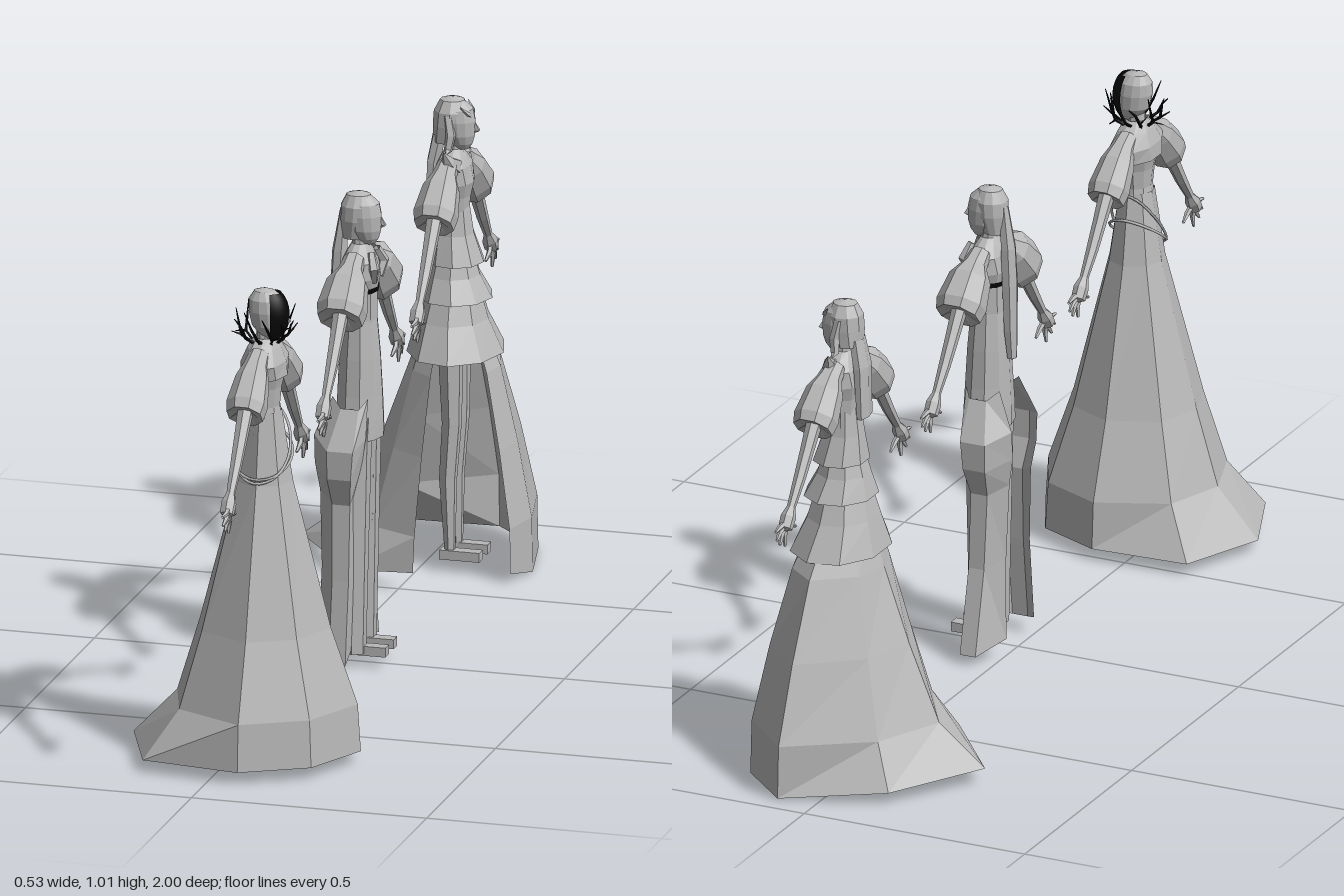
import * as THREE from 'three';

const grey = new THREE.MeshStandardMaterial({ color: 0xb8b8b8, side: THREE.DoubleSide });
grey.name = 'plain grey';
const black = new THREE.MeshStandardMaterial({ color: 0x060606, side: THREE.DoubleSide });
black.name = 'black';

const V = (x, y, z) => new THREE.Vector3(x, y, z);
const lerp = THREE.MathUtils.lerp;

function add(parent, name, geometry, material = grey) {
  const mesh = new THREE.Mesh(geometry, material);
  mesh.name = name;
  parent.add(mesh);
  return mesh;
}

// Faceted skin through rows of points
function skin(rows, closed = true) {
  const pos = [];
  const n = rows[0].length;
  for (let i = 0; i < rows.length - 1; i++) {
    for (let j = 0; j < (closed ? n : n - 1); j++) {
      const k = (j + 1) % n;
      const [a, b, c, d] = [rows[i][j], rows[i][k], rows[i + 1][k], rows[i + 1][j]];
      for (const p of [a, b, c, a, c, d]) pos.push(p.x, p.y, p.z);
    }
  }
  const g = new THREE.BufferGeometry();
  g.setAttribute('position', new THREE.Float32BufferAttribute(pos, 3));
  g.computeVertexNormals();
  return g;
}

// Upright loft: rings of [y, rx, rz, centre x]
const loft = (rings, n = 8) => skin(rings.map(([y, rx, rz, cx = 0]) =>
  Array.from({ length: n }, (_, j) => {
    const a = (j / n) * Math.PI * 2;
    return V(cx + rx * Math.cos(a), y, rz * Math.sin(a));
  })));

// Limb along points [x, y, z, radius]
function limb(points, n = 6) {
  const c = points.map(p => V(p[0], p[1], p[2]));
  return skin(points.map((p, i) => {
    const dir = c[Math.min(i + 1, c.length - 1)].clone().sub(c[Math.max(i - 1, 0)]).normalize();
    const u = V(1, 0, 0).addScaledVector(dir, -dir.x).normalize();
    const w = dir.clone().cross(u);
    return Array.from({ length: n }, (_, j) => {
      const a = ((j + 0.5) / n) * Math.PI * 2;
      return c[i].clone().addScaledVector(u, p[3] * Math.cos(a)).addScaledVector(w, p[3] * Math.sin(a));
    });
  }));
}

// Skirt flowing from a waist ellipse to hem points [x, y, z, trail];
// levels are [y, spread at sides, spread on the trailing hem]
function skirt(hem, waist, levels, closed) {
  return skin(levels.map(([y, side, trail], i) => hem.map(([hx, hy, hz, f]) => {
    const a = Math.atan2(hz, hx);
    const t = lerp(side, trail, f);
    return V(lerp(waist[0] * Math.cos(a), hx, t), i === levels.length - 1 ? hy : y,
      lerp(waist[1] * Math.sin(a), hz, t));
  })), closed);
}

// Shared body: head, neck, torso, arms, hands, legs and feet
function person(name, z, puff) {
  const g = new THREE.Group();
  g.name = name;
  g.position.set(0.065, 0, z);
  add(g, 'head', loft([[1.008, 0.002, 0.002], [1.002, 0.022, 0.018], [0.985, 0.037, 0.03, 0.004],
    [0.96, 0.04, 0.033, 0.006], [0.93, 0.036, 0.03, 0.009], [0.912, 0.026, 0.022, 0.014],
    [0.9, 0.012, 0.012, 0.02], [0.898, 0.001, 0.001, 0.02]], 14));
  add(g, 'nose', limb([[0.044, 0.957, 0, 0.002], [0.051, 0.94, 0, 0.006], [0.043, 0.935, 0, 0.002]], 4));
  add(g, 'torso', loft([[0.93, 0.016, 0.016], [0.9, 0.017, 0.019], [0.885, 0.026, 0.04], [0.865, 0.036, 0.062],
    [0.83, 0.043, 0.055], [0.8, 0.036, 0.043], [0.76, 0.032, 0.038], [0.7, 0.04, 0.045]], 10));
  for (const s of [1, -1]) {
    add(g, 'sleeve', limb([[0, 0.875, s * 0.04, 0.022], [0, 0.858, s * 0.068, 0.026],
      [0, 0.838, s * 0.09, puff * 0.83], [0, 0.795, s * 0.13, puff], [0, 0.776, s * 0.146, puff * 0.9],
      [0, 0.784, s * 0.142, 0.014]], 8));
    add(g, 'forearm', limb([[0, 0.79, s * 0.137, 0.017], [0, 0.74, s * 0.172, 0.0145],
      [0, 0.69, s * 0.208, 0.0125], [0, 0.64, s * 0.248, 0.009]]));
    add(g, 'palm', limb([[0, 0.642, s * 0.246, 0.009], [0, 0.625, s * 0.26, 0.016],
      [0, 0.605, s * 0.274, 0.015], [0, 0.6, s * 0.278, 0.003]]));
    for (const [y, w] of [[0.61, 0.315], [0.59, 0.31], [0.575, 0.296], [0.564, 0.271], [0.59, 0.222]]) {
      add(g, 'finger', limb([[0, 0.617, s * 0.264, 0.006], [0.004, (y + 0.614) / 2, s * (w + 0.268) / 2, 0.006],
        [0.002, y, s * w, 0.003]], 5));
    }
    add(g, 'leg', limb([[0, 0.56, s * 0.028, 0.03], [0.004, 0.32, s * 0.028, 0.021],
      [-0.004, 0.2, s * 0.028, 0.019], [0, 0.04, s * 0.028, 0.011]]));
    const foot = add(g, 'foot', new THREE.BoxGeometry(0.085, 0.02, 0.026));
    foot.position.set(0.024, 0.04, s * 0.03);
  }
  return g;
}

// Woman in the bell gown with a dark mask and thorn collar
function maskedLady() {
  const g = person('maskedLady', 0.69, 0.043);
  add(g, 'bellSkirt', skirt([
    [0.135, 0.03, 0.125, 0], [0.0, 0.03, 0.2, 0], [-0.21, 0.03, 0.17, 0.9], [-0.285, 0.03, -0.02, 1],
    [-0.21, 0.03, -0.2, 0.9], [0.0, 0.03, -0.21, 0], [0.135, 0.03, -0.15, 0], [0.2, 0.03, -0.015, 0]],
  [0.036, 0.042], [[0.75, 0, 0], [0.6, 0.14, 0.09], [0.29, 0.62, 0.42], [0.13, 0.96, 0.62], [0.03, 1, 1]], true));
  add(g, 'shoulderCape', loft([[0.905, 0.022, 0.026], [0.885, 0.034, 0.055], [0.855, 0.046, 0.085],
    [0.825, 0.048, 0.07]], 9));
  // Face mask
  const mask = add(g, 'faceMask', new THREE.SphereGeometry(1, 14, 10, Math.PI - 1.25, 2.5, 0.65, 2.1), black);
  mask.scale.set(0.045, 0.06, 0.036);
  mask.position.set(0.007, 0.952, 0);
  // Thorn branches
  for (let i = 0; i < 10; i++) {
    const a = (i / 10) * Math.PI * 2 + 0.2;
    const at = (r, y, turn, w) => [r * Math.cos(a + turn), y, r * Math.sin(a + turn), w];
    const h = (i % 3) * 0.012;
    add(g, 'thornBranch', limb([at(0.03, 0.895, 0, 0.0035), at(0.048, 0.908, 0.15, 0.0035),
      at(0.054, 0.93, 0.35, 0.0028), at(0.064, 0.945 + h, 0.55, 0.001)], 4), black);
    add(g, 'thornTwig', limb([at(0.048, 0.908, 0.15, 0.0025), at(0.068, 0.93 - h, 0, 0.001)], 4), black);
  }
  // Slanted cords, high on one hip and low on the other
  for (const [level, slant] of [[0.677, 0.07], [0.655, 0.04]]) {
    const pts = Array.from({ length: 12 }, (_, i) => {
      const a = (i / 12) * Math.PI * 2;
      const y = level - slant * Math.sin(a);
      const r = lerp(0.066, 0.044, (y - 0.6) / 0.15);
      return V(r * Math.cos(a), y, r * Math.sin(a));
    });
    add(g, 'hipCord', new THREE.TubeGeometry(new THREE.CatmullRomCurve3(pts, true), 36, 0.003, 5, true));
  }
  return g;
}

// Woman in the slim gown with side drapes and a long tail of hair
function slimLady() {
  const g = person('slimLady', 0, 0.053);
  add(g, 'slimGown', loft([[0.8, 0.037, 0.044], [0.74, 0.037, 0.041], [0.66, 0.044, 0.05],
    [0.58, 0.048, 0.056], [0.53, 0.05, 0.062], [0.49, 0.05, 0.066]], 10));
  add(g, 'belt', loft([[0.81, 0.041, 0.047], [0.799, 0.039, 0.046]], 10), black);
  for (const s of [1, -1]) {
    add(g, 'trouserLeg', limb([[0, 0.54, s * 0.034, 0.036], [0, 0.3, s * 0.036, 0.03], [0, 0.035, s * 0.038, 0.024]]));
    // Drape: [y, outer z, inner z, back x, front x]
    add(g, 'sideDrape', skin([[0.56, 0.062, 0.045, -0.045, 0.03], [0.48, 0.106, 0.06, -0.08, 0.03],
      [0.42, 0.104, 0.055, -0.08, 0.02], [0.36, 0.082, 0.05, -0.07, 0.005], [0.2, 0.092, 0.055, -0.065, 0.005],
      [0.025, s > 0 ? 0.108 : 0.138, 0.065, -0.07, 0]]
      .map(([y, o, i, b, f]) => [V(f, y + 0.02, s * i), V(f * 0.5, y, s * o), V(b * 0.5, y, s * o), V(b, y + 0.02, s * i)]), false));
    add(g, 'bustFold', limb([[0.03, 0.885, s * 0.02, 0.008], [0.04, 0.855, s * 0.035, 0.012], [0.036, 0.825, s * 0.02, 0.008]], 5));
  }
  add(g, 'hairCap', loft([[1.01, 0.003, 0.003, -0.002], [1.003, 0.025, 0.022, -0.003], [0.98, 0.036, 0.034, -0.004],
    [0.95, 0.035, 0.034, -0.006], [0.91, 0.024, 0.024, -0.012]], 12));
  add(g, 'hairTail', loft([[0.97, 0.008, 0.012, -0.034], [0.88, 0.016, 0.021, -0.043], [0.8, 0.016, 0.023, -0.047],
    [0.7, 0.014, 0.02, -0.049], [0.64, 0.01, 0.014, -0.052], [0.635, 0.001, 0.001, -0.052]], 6));
  return g;
}

// Woman in the tiered gown with an open trailing skirt
function tieredLady() {
  const g = person('tieredLady', -0.68, 0.047);
  const tiers = [[0.78, 0.66, 0.034, 0.036, 0.058, 0.066], [0.68, 0.585, 0.042, 0.046, 0.076, 0.088],
    [0.61, 0.47, 0.054, 0.06, 0.1, 0.13]];
  for (const [top, hem, x0, z0, x1, z1] of tiers) {
    const mid = (top + hem) / 2;
    add(g, 'gownTier', loft([[top, x0, z0], [mid, (x0 + x1) / 2 - 0.003, (z0 + z1) / 2 - 0.006], [hem, x1, z1, 0.006]], 9));
  }
  add(g, 'trailingSkirt', skirt([
    [-0.03, 0.045, 0.195, 0.1], [-0.175, 0.035, 0.18, 0.8], [-0.33, 0.04, -0.02, 1], [-0.2, 0.03, -0.205, 0.7],
    [0.015, 0.008, -0.28, 0], [0.13, 0.004, -0.17, 0], [0.165, 0.004, -0.01, 0], [0.145, 0.025, 0.085, 0]],
  [0.062, 0.075], [[0.53, 0, 0], [0.44, 0.35, 0.12], [0.28, 0.7, 0.34], [0.12, 0.98, 0.6], [0.02, 1, 1]], false));
  // Hair, its flared ends and the tail behind
  add(g, 'hairCap', loft([[1.01, 0.003, 0.003, -0.002], [1.003, 0.026, 0.024, -0.003], [0.98, 0.037, 0.038, -0.004],
    [0.95, 0.036, 0.039, -0.007], [0.915, 0.028, 0.036, -0.014]], 9));
  add(g, 'hairTail', loft([[0.93, 0.014, 0.026, -0.03], [0.87, 0.014, 0.032, -0.042], [0.76, 0.01, 0.03, -0.047],
    [0.755, 0.001, 0.001, -0.047]], 6));
  for (const s of [1, -1]) {
    add(g, 'hairFlick', limb([[-0.004, 0.975, s * 0.03, 0.01], [0.004, 0.935, s * 0.036, 0.011],
      [0, 0.905, s * 0.042, 0.009], [0, 0.9, s * 0.056, 0.001]], 5));
    add(g, 'collarPoint', limb([[0.01, 0.87, s * 0.035, 0.02], [0.005, 0.885, s * 0.06, 0.015],
      [0, 0.91, s * 0.075, 0.001]], 5));
    add(g, 'browCrest', limb([[0.04, 0.965, 0, 0.004], [0.036, 0.978, s * 0.018, 0.005],
      [0.022, 0.995, s * 0.03, 0.001]], 4));
  }
  return g;
}

export function createModel() {
  const model = new THREE.Group();
  model.name = 'threeGownedLadies';
  model.add(maskedLady(), slimLady(), tieredLady());
  return model;
}
